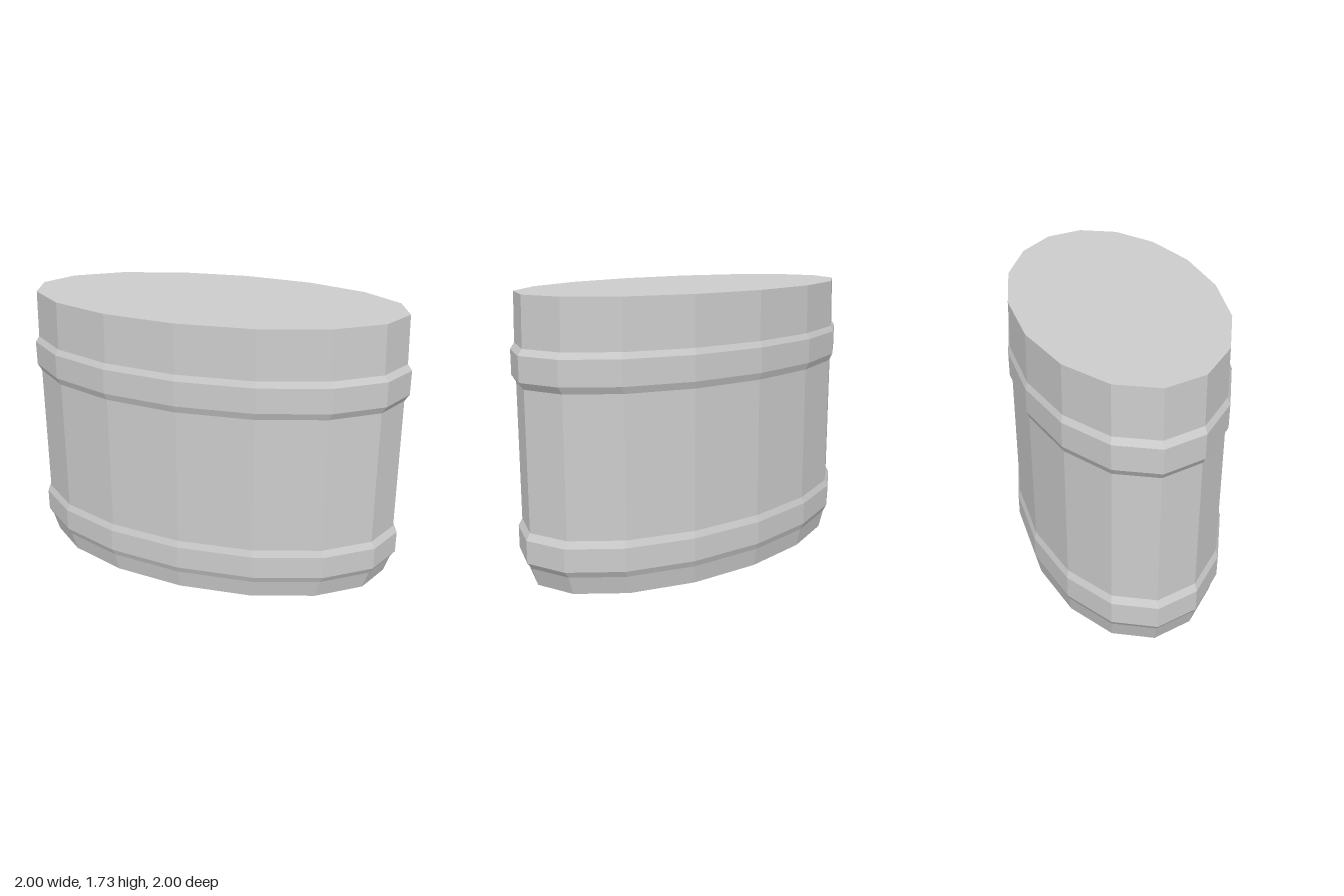
import * as THREE from 'three';

const SIDES = 16;
const HALF_LENGTH = 1.253; // along the diagonal +x +z
const HALF_WIDTH = 0.67;

// Turns a [relative radius, height] profile into an oval solid, long axis on the diagonal
function ovalSolid(name, profile, material) {
  const points = profile.map(([r, y]) => new THREE.Vector2(r, y));
  const geometry = new THREE.LatheGeometry(points, SIDES);
  geometry.scale(HALF_WIDTH, 1, HALF_LENGTH);
  geometry.rotateY(Math.PI / 4);
  const mesh = new THREE.Mesh(geometry, material);
  mesh.name = name;
  return mesh;
}

export function createModel() {
  const group = new THREE.Group();
  group.name = 'ovalBarrel';
  const material = new THREE.MeshStandardMaterial({ color: 0xcccccc, flatShading: true });

  group.add(ovalSolid('barrelBody', [
    // closed base with a tapered foot
    [0, 0], [0.947, 0], [0.977, 0.115],
    // lower hoop
    [1, 0.155], [1, 0.298], [0.979, 0.34],
    // wall
    [0.977, 1.197],
    // upper hoop
    [1, 1.24], [1, 1.393], [0.978, 1.43],
    // rim and closed lid
    [0.971, 1.73], [0, 1.73],
  ], material));

  return group;
}
